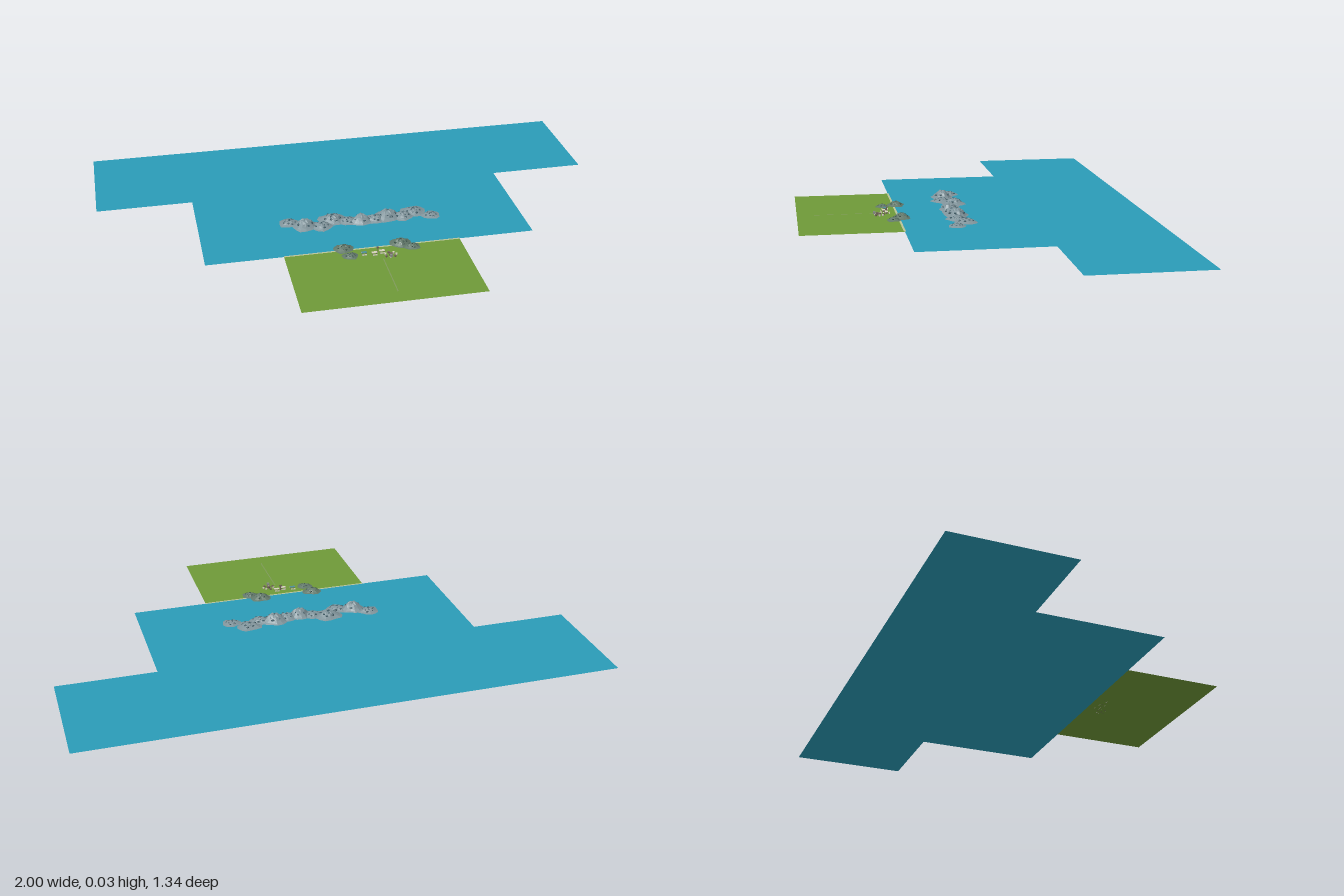
import * as THREE from 'three';

const mat = (color, extra = {}) => new THREE.MeshStandardMaterial({ color, side: THREE.DoubleSide, ...extra });

function seeded(seed) {
  let s = seed;
  return () => (s = (s * 16807) % 2147483647) / 2147483647;
}

function add(parent, name, geometry, material, x = 0, y = 0, z = 0) {
  const mesh = new THREE.Mesh(geometry, material);
  mesh.name = name;
  mesh.position.set(x, y, z);
  parent.add(mesh);
  return mesh;
}

// Flat ground sheet from [x, z] corners
function sheet(parent, name, corners, color, y) {
  const shape = new THREE.Shape(corners.map(([x, z]) => new THREE.Vector2(x, -z)));
  const geometry = new THREE.ShapeGeometry(shape).rotateX(-Math.PI / 2);
  return add(parent, name, geometry, mat(color), 0, y, 0);
}

const rect = (x0, x1, z0, z1) => [[x0, z0], [x0, z1], [x1, z1], [x1, z0]];

// Faceted mound: a lathe profile whose inner vertices are pushed about
function moundGeometry(radius, height, seed) {
  const profile = [[1, 0], [0.84, 0.13], [0.66, 0.36], [0.48, 0.66], [0.28, 0.88], [0, 1]]
    .map(([r, h]) => new THREE.Vector2(r * radius, h * height));
  const geometry = new THREE.LatheGeometry(profile, 14);
  const p = geometry.attributes.position;
  for (let i = 0; i < p.count; i++) {
    const x = p.getX(i), y = p.getY(i), z = p.getZ(i);
    const a = Math.atan2(z, x);
    const wave = 1 + 0.08 * Math.sin(3 * a + seed) + 0.06 * Math.sin(5 * a + seed * 2);
    const bump = 1 + 0.1 * Math.sin(4 * a + seed + y * 300);
    p.setXYZ(i, x * wave, y < 1e-6 ? 0 : y * (y > height * 0.95 ? 1 : bump), z * wave * 0.85);
  }
  return geometry;
}

// Mound with a ring of dark boulders on its crown
function mound(parent, name, x, z, radius, height, seed, skirtMat, crownMat) {
  const group = new THREE.Group();
  group.name = name;
  group.position.set(x, 0.001, z);
  add(group, 'slope', moundGeometry(radius, height, seed), skirtMat);
  const rand = seeded(seed * 7919 + 17);
  for (let i = 0; i < 12; i++) {
    const a = i * 2.4, r = radius * 0.62 * Math.sqrt(i / 12);
    const rock = add(group, 'boulder', new THREE.IcosahedronGeometry(radius * 0.14, 0), crownMat,
      r * Math.cos(a), height * (0.9 - 0.85 * (r / radius)), r * Math.sin(a) * 0.85);
    rock.scale.set(1, 0.35 + 0.25 * rand(), 0.7 + 0.5 * rand());
    rock.rotation.y = rand() * 6;
  }
  parent.add(group);
}

export function createModel() {
  const model = new THREE.Group();
  model.name = 'lakeScene';

  // Water, lawn and shore
  sheet(model, 'water', [
    [-1, -0.67], [-1, -0.215], [-0.625, -0.215], [-0.625, 0.283],
    [0.625, 0.283], [0.625, -0.215], [1, -0.215], [1, -0.67],
  ], 0x2a9cb7, 0);
  sheet(model, 'lawn', rect(-0.335, 0.335, 0.283, 0.665), 0x6f9938, 0);
  sheet(model, 'shore', rect(-0.335, 0.335, 0.279, 0.287), 0xb9c49a, 0.001);
  sheet(model, 'pathLine', rect(0.018, 0.022, 0.37, 0.6), 0x7f9a5a, 0.001);

  // Chain of rocky islands: x, z, radius, height
  const slope = mat(0x81949b, { flatShading: true });
  const crown = mat(0x3f5a64, { flatShading: true });
  [
    [-0.275, 0.035, 0.042, 0.013], [-0.22, 0.072, 0.05, 0.032], [-0.158, 0.085, 0.046, 0.016],
    [-0.108, 0.04, 0.055, 0.022], [-0.05, 0.065, 0.042, 0.014], [0, 0.075, 0.046, 0.032],
    [0.055, 0.072, 0.045, 0.018], [0.107, 0.06, 0.055, 0.031], [0.165, 0.07, 0.045, 0.018],
    [0.215, 0.04, 0.05, 0.015], [0.275, 0.083, 0.038, 0.01],
  ].forEach(([x, z, r, h], i) => mound(model, 'rockIsland', x, z, r, h, i + 1, slope, crown));

  // Shrub clumps along the shore
  const shrub = mat(0x62786a, { flatShading: true });
  const leaf = mat(0x354e45, { flatShading: true });
  [
    [-0.11, 0.272, 0.039, 0.017], [0.108, 0.272, 0.042, 0.019],
    [-0.095, 0.328, 0.031, 0.01], [0.145, 0.305, 0.032, 0.012],
  ].forEach(([x, z, r, h], i) => mound(model, 'shrub', x, z, r, h, i + 21, shrub, leaf));

  // Picnic corner: low tables with benches and a signpost
  const cream = mat(0xd5d2bd), wood = mat(0x75695a), teal = mat(0x4f8f98);
  const picnic = new THREE.Group();
  picnic.name = 'picnicCorner';
  [-0.042, -0.004, 0.026].forEach((x, i) => {
    const z = 0.322 + 0.008 * (i % 2);
    add(picnic, 'tableTop', new THREE.BoxGeometry(0.02, 0.0015, 0.012), i === 0 ? teal : cream, x, 0.0075, z);
    for (const side of [-1, 1]) {
      add(picnic, 'tableLeg', new THREE.BoxGeometry(0.002, 0.007, 0.008), wood, x + side * 0.007, 0.0035, z);
      add(picnic, 'bench', new THREE.BoxGeometry(0.018, 0.004, 0.003), cream, x, 0.002, z + side * 0.011);
    }
  });
  add(picnic, 'post', new THREE.CylinderGeometry(0.0015, 0.0015, 0.022, 8), wood, 0.01, 0.011, 0.32);
  add(picnic, 'postBoard', new THREE.BoxGeometry(0.01, 0.006, 0.004), wood, 0.01, 0.02, 0.32);

  // Ring of stools round a small round table
  add(picnic, 'roundTable', new THREE.CylinderGeometry(0.008, 0.006, 0.009, 10), wood, 0.053, 0.0045, 0.352);
  for (let i = 0; i < 7; i++) {
    const a = (i / 7) * Math.PI * 2;
    add(picnic, 'stool', new THREE.CylinderGeometry(0.0045, 0.0035, 0.007, 8), i % 2 ? wood : cream,
      0.053 + 0.021 * Math.cos(a), 0.0035, 0.352 + 0.017 * Math.sin(a));
  }

  // Lantern on a short stand
  add(picnic, 'lanternStand', new THREE.CylinderGeometry(0.001, 0.001, 0.006, 6), wood, 0.05, 0.003, 0.371);
  add(picnic, 'lantern', new THREE.BoxGeometry(0.009, 0.009, 0.009), mat(0x8b9188), 0.05, 0.0105, 0.371);
  model.add(picnic);

  return model;
}
